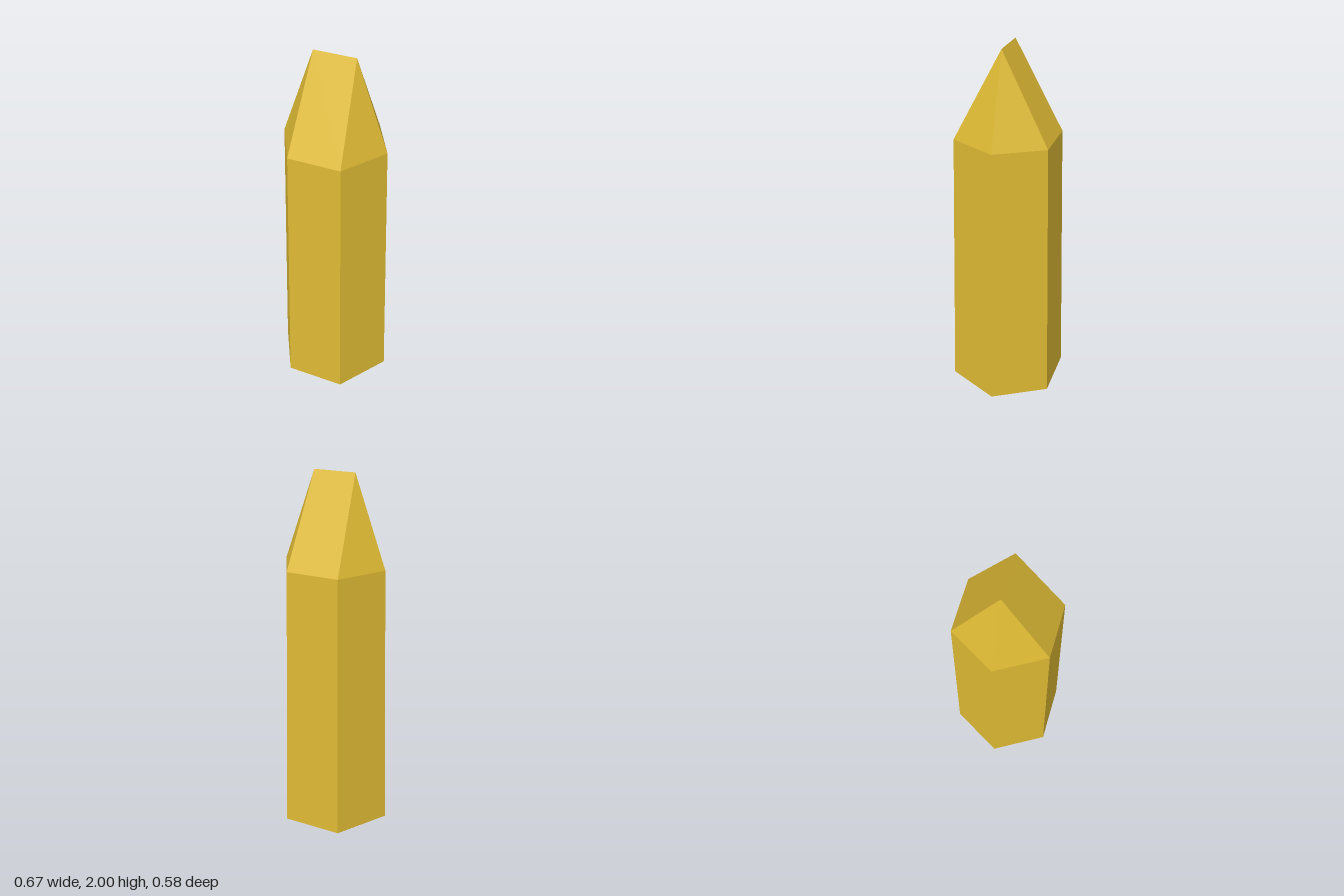
import * as THREE from 'three';
import { ConvexGeometry } from 'three/addons/geometries/ConvexGeometry.js';

const SHOULDER = 1.5;
const HEIGHT = 2;
const BASE_RADIUS = 0.333;
const SHOULDER_RADIUS = 0.3;
const RIDGE_HALF = 0.12;

// Hexagonal ring with two corners on the x axis
function hexRing(radius, y) {
  return Array.from({ length: 6 }, (_, i) => {
    const a = (i * Math.PI) / 3;
    return new THREE.Vector3(Math.cos(a) * radius, y, Math.sin(a) * radius);
  });
}

export function createModel() {
  const model = new THREE.Group();
  model.name = 'crystal';

  const gold = new THREE.MeshStandardMaterial({ color: 0xdeba34 });
  gold.name = 'gold';

  const addPart = (name, points) => {
    const mesh = new THREE.Mesh(new ConvexGeometry(points), gold);
    mesh.name = name;
    model.add(mesh);
  };

  // Tapered six-sided shaft
  addPart('shaft', [...hexRing(BASE_RADIUS, 0), ...hexRing(SHOULDER_RADIUS, SHOULDER)]);

  // Faceted tip closing to a short ridge along x
  addPart('tip', [
    ...hexRing(SHOULDER_RADIUS, SHOULDER),
    new THREE.Vector3(-RIDGE_HALF, HEIGHT, 0),
    new THREE.Vector3(RIDGE_HALF, HEIGHT, 0),
  ]);

  return model;
}
